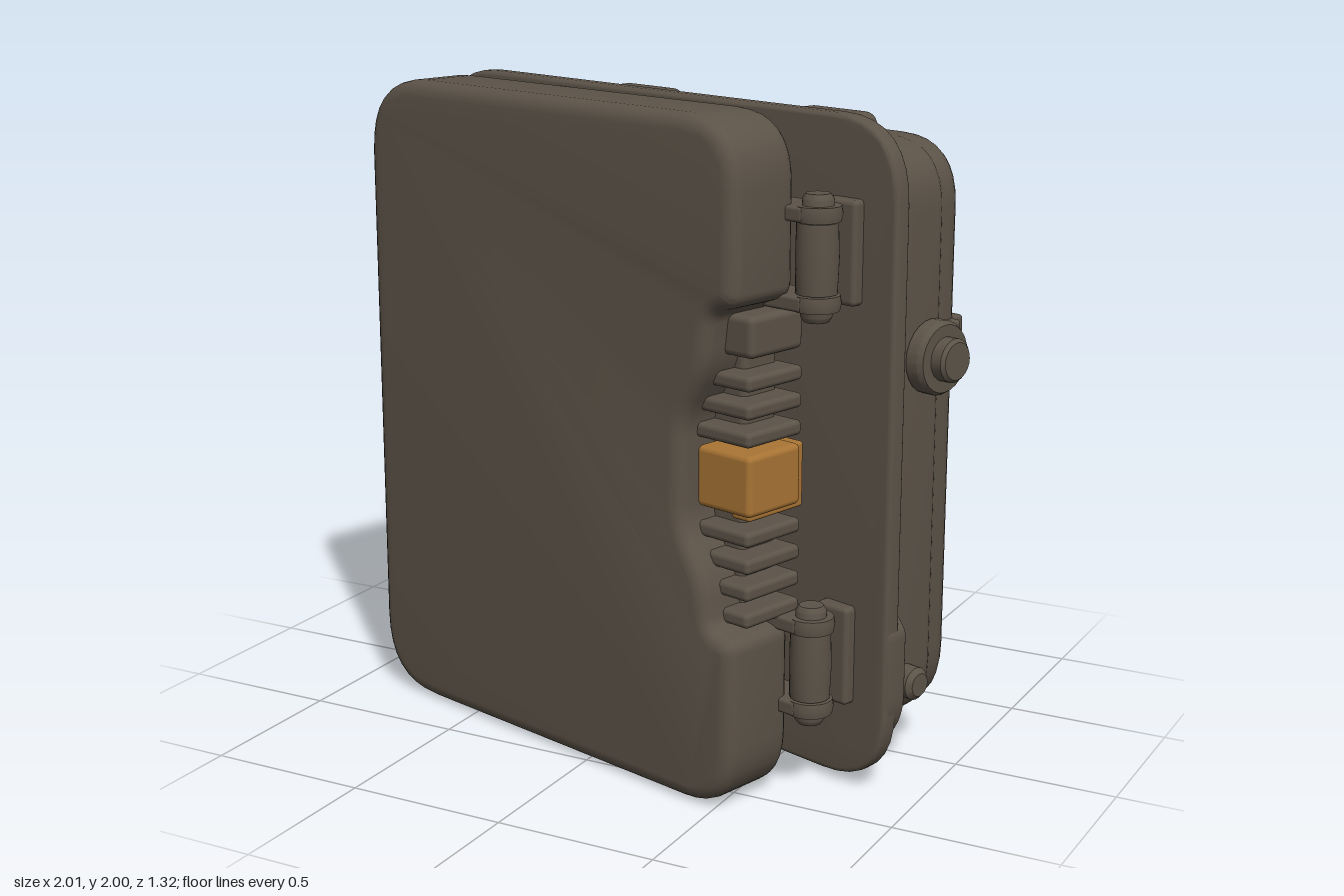
import * as THREE from 'three';
import { toCreasedNormals } from 'three/addons/utils/BufferGeometryUtils.js';
import { RoundedBoxGeometry } from 'three/addons/geometries/RoundedBoxGeometry.js';

const shellMat = new THREE.MeshStandardMaterial({ color: 0x5c5348 });
shellMat.name = 'olive brown shell';
const latchMat = new THREE.MeshStandardMaterial({ color: 0xa87434 });
latchMat.name = 'mustard latch';

// Closed outline through [x, y, cornerRadius] points, counter-clockwise
function outline(pts, target = new THREE.Shape()) {
  const n = pts.length;
  pts.forEach(([x, y, r = 0], i) => {
    const p = new THREE.Vector2(x, y);
    const prev = new THREE.Vector2(...pts[(i + n - 1) % n].slice(0, 2));
    const next = new THREE.Vector2(...pts[(i + 1) % n].slice(0, 2));
    const a = prev.sub(p).setLength(r).add(p);
    const b = next.sub(p).setLength(r).add(p);
    if (i === 0) target.moveTo(a.x, a.y); else target.lineTo(a.x, a.y);
    if (r > 0) target.quadraticCurveTo(x, y, b.x, b.y);
  });
  target.closePath();
  return target;
}
const rect = (x0, x1, y0, y1, r) => outline([[x0, y0, r], [x1, y0, r], [x1, y1, r], [x0, y1, r]]);

function add(parent, name, geo, mat = shellMat) {
  const mesh = new THREE.Mesh(geo, mat);
  mesh.name = name;
  parent.add(mesh);
  return mesh;
}

// Outline extruded from z0 to z1 with rounded edges inside the outline
function slab(parent, name, shape, z0, z1, bevel) {
  const geo = new THREE.ExtrudeGeometry(shape, {
    depth: z1 - z0 - 2 * bevel, bevelThickness: bevel, bevelSize: bevel,
    bevelOffset: -bevel, bevelSegments: 4, curveSegments: 8,
  });
  geo.translate(0, 0, z0 + bevel);
  return add(parent, name, toCreasedNormals(geo, 0.6));
}

function block(parent, name, x0, x1, y0, y1, z0, z1, r = 0.02, mat = shellMat) {
  const mesh = add(parent, name, new RoundedBoxGeometry(x1 - x0, y1 - y0, z1 - z0, 3, r), mat);
  mesh.position.set((x0 + x1) / 2, (y0 + y1) / 2, (z0 + z1) / 2);
  return mesh;
}

// Turned part: [radius, height] profile about a chosen axis
function turned(parent, name, profile, pos, axis = 'y', sign = 1) {
  const geo = new THREE.LatheGeometry(profile.map(p => new THREE.Vector2(...p)), 24);
  const mesh = add(parent, name, toCreasedNormals(geo, 0.6));
  mesh.position.set(...pos);
  if (axis === 'x') mesh.rotation.z = -sign * Math.PI / 2;
  if (axis === 'z') mesh.rotation.x = sign * Math.PI / 2;
  return mesh;
}

function buildRearCase() {
  const g = new THREE.Group();
  g.name = 'rearCase';
  // Flange rims
  slab(g, 'mainRim', rect(-0.99, 0.975, 0.02, 1.98, 0.24), -0.03, 0.03, 0.015);
  slab(g, 'innerRim', rect(-0.94, 0.93, 0.05, 1.95, 0.24), -0.06, -0.01, 0.015);
  // Body, with a rear layer notched for the handles
  slab(g, 'bodyShell', rect(-0.9, 0.885, 0.13, 1.89, 0.2), -0.3, 0.02, 0.04);
  slab(g, 'bodyBack', outline([
    [-0.89, 0.13, 0.22], [-0.27, 0.13, 0.03], [-0.24, 0.4, 0.04], [0.24, 0.4, 0.04],
    [0.27, 0.13, 0.03], [0.875, 0.13, 0.22], [0.875, 1.89, 0.2], [0.27, 1.89, 0.03],
    [0.24, 1.6, 0.04], [-0.24, 1.6, 0.04], [-0.27, 1.89, 0.03], [-0.89, 1.89, 0.2],
  ]), -0.385, -0.12, 0.06);
  slab(g, 'backPlate', rect(-0.59, 0.61, 0.46, 1.56, 0.06), -0.41, -0.35, 0.008);

  for (const s of [-1, 1]) {
    const span = (a, b) => (s > 0 ? [a, b] : [-b, -a]);
    // Raised straps above and below
    block(g, 'topStrap', ...span(0.27, 0.55), 1.6, 1.93, -0.395, -0.03, 0.04);
    block(g, 'bottomFoot', ...span(0.27, 0.55), 0.03, 0.4, -0.395, -0.03, 0.04);
    block(g, 'underLedge', ...span(0.5, 0.74), 0.08, 0.22, -0.22, -0.03, 0.03);
    // Bottom corner guards on the rim
    slab(g, 'cornerGuard', outline(s > 0
      ? [[0.76, 0.02, 0.1], [0.98, 0.2, 0.1], [0.98, 0.5, 0.02], [0.93, 0.56, 0.02], [0.86, 0.3, 0.05]]
      : [[-0.76, 0.02, 0.1], [-0.86, 0.3, 0.05], [-0.95, 0.56, 0.02], [-1.03, 0.5, 0.02], [-1.03, 0.2, 0.1]]),
    -0.06, 0.025, 0.015);
    // Side knob with the bracket wrapping to the back
    turned(g, 'sideKnob', [[0, 0], [0.11, 0], [0.11, 0.04], [0.1, 0.055], [0.065, 0.055], [0.065, 0.09], [0.055, 0.1], [0, 0.1]],
      [s * 0.89, 1.27, -0.235], 'x', s);
    block(g, 'sideBracket', ...span(0.84, 0.9), 1.17, 1.36, -0.36, -0.22, 0.012);
    block(g, 'rearBracket', ...span(0.64, 0.86), 1.17, 1.36, -0.42, -0.33, 0.012);
    block(g, 'bracketStud', ...span(0.75, 0.78), 1.24, 1.29, -0.428, -0.4, 0.008);
    // Side bolt
    turned(g, 'sideBolt', [[0, 0], [0.05, 0], [0.05, 0.05], [0.035, 0.065], [0, 0.065]], [s * 0.88, 0.29, -0.165], 'x', s);
    // Corner bumpers and plate screws
    for (const t of [-1, 1]) {
      turned(g, 'cornerBumper', [[0, 0], [0.085, 0], [0.08, 0.035], [0.065, 0.06], [0.045, 0.075], [0, 0.075]],
        [s * 0.67, 1 + t * 0.68, -0.36], 'z', -1);
      turned(g, 'plateScrew', [[0, 0], [0.028, 0], [0.028, 0.012], [0.014, 0.012], [0.014, 0.006], [0, 0.006]],
        [s * 0.55 + 0.01, 1.01 + t * 0.5, -0.408], 'z', -1);
    }
  }
  // Carry handles in the notches
  for (const t of [-1, 1]) {
    const shape = outline([[-0.22, 0, 0.01], [0.22, 0, 0.01], [0.16, 0.15, 0.04], [-0.16, 0.15, 0.04]]);
    shape.holes.push(outline([[-0.15, 0.035, 0.02], [-0.11, 0.1, 0.02], [0.11, 0.1, 0.02], [0.15, 0.035, 0.02]], new THREE.Path()));
    const handle = slab(g, 'carryHandle', shape, -0.035, 0.035, 0.012);
    handle.position.set(0, 1 + t * 0.6, -0.355);
    if (t < 0) handle.rotation.z = Math.PI;
  }
  g.position.x = -0.02;
  return g;
}

function buildFrontDoor() {
  const g = new THREE.Group();
  g.name = 'frontDoor';
  // Thick door with the grip notch on its left edge
  slab(g, 'doorPanel', outline([
    [-0.82, 0, 0.24], [0.725, 0, 0.2], [0.725, 0.52, 0.04], [0.635, 0.54, 0.04], [0.615, 0.68, 0.06],
    [0.525, 0.83, 0.06], [0.525, 1.14, 0.06], [0.615, 1.3, 0.06], [0.635, 1.46, 0.04], [0.725, 1.49, 0.04],
    [0.725, 2, 0.2], [-0.82, 2, 0.24],
  ]), 0.22, 0.485, 0.045);
  // Tapered hump on the inner side, running the full height
  const hump = new THREE.ExtrudeGeometry(
    outline([[-0.72, -0.26], [0.58, -0.26], [0.58, -0.22], [0.23, -0.07], [-0.38, -0.04], [-0.72, -0.17]]),
    { depth: 1.84, bevelThickness: 0.05, bevelSize: 0.04, bevelOffset: -0.04, bevelSegments: 1 });
  hump.rotateX(-Math.PI / 2).translate(0, 0.08, 0);
  add(g, 'innerHump', toCreasedNormals(hump, 0.4));

  // Ribbed grip and latch
  block(g, 'gripCore', 0.4, 0.64, 0.52, 1.48, 0.2, 0.34, 0.02);
  for (const y of [0.57, 0.65, 0.73, 0.81, 1.1, 1.18, 1.26])
    block(g, 'gripRib', 0.45, 0.72, y - 0.022, y + 0.022, 0.18, 0.41, 0.015);
  block(g, 'gripBlock', 0.45, 0.72, 1.33, 1.45, 0.18, 0.4, 0.02);
  block(g, 'latchBase', 0.63, 0.7, 0.855, 1.05, 0.15, 0.38, 0.01, latchMat);
  block(g, 'latchButton', 0.53, 0.735, 0.88, 1.06, 0.2, 0.42, 0.018, latchMat);
  // Ribs and the latch end behind the right edge
  for (const y of [0.6, 0.7, 0.8, 1.12, 1.22, 1.32, 1.42])
    block(g, 'rightRib', -0.79, -0.66, y - 0.025, y + 0.025, 0.16, 0.26, 0.012);
  block(g, 'rightLatch', -0.8, -0.66, 0.87, 1.06, 0.155, 0.26, 0.012, latchMat);
  return g;
}

function buildHinge(x, y, z, s) {
  const g = new THREE.Group();
  g.name = 'hinge';
  // Pin with capped ends, knuckle and collars
  turned(g, 'hingePin', [[0, -0.18], [0.035, -0.18], [0.045, -0.165], [0.045, 0.165], [0.035, 0.18], [0, 0.18]], [0, 0, 0]);
  turned(g, 'hingeKnuckle', [[0, -0.1], [0.058, -0.1], [0.062, 0], [0.058, 0.1], [0, 0.1]], [0, 0, 0]);
  for (const t of [-1, 1]) {
    turned(g, 'hingeCollar', [[0, -0.022], [0.066, -0.022], [0.07, 0], [0.066, 0.022], [0, 0.022]], [0, t * 0.125, 0]);
    const arm = block(g, 'hingeArm', -0.16, 0, t * 0.125 - 0.022, t * 0.125 + 0.022, -0.06, 0.07, 0.01);
    if (s < 0) arm.position.x *= -1;
  }
  // Leaves fixed to the door and to the rear case
  const leaf = block(g, 'caseLeaf', -0.07, 0.05, -0.15, 0.15, -0.17, -0.1, 0.015);
  const web = block(g, 'leafWeb', -0.06, -0.02, -0.13, 0.13, -0.16, 0.03, 0.012);
  if (s < 0) { leaf.position.x *= -1; web.position.x *= -1; }
  g.position.set(x, y, z);
  return g;
}

export function createModel() {
  const model = new THREE.Group();
  model.name = 'ruggedCase';
  const rearCase = buildRearCase();
  rearCase.rotation.y = -0.314;
  const door = buildFrontDoor();
  door.rotation.y = -0.276;
  for (const y of [0.41, 1.6])
    door.add(buildHinge(0.784, y, 0.205, 1), buildHinge(-0.836, y, 0.128, -1));
  model.add(rearCase, door);
  return model;
}
